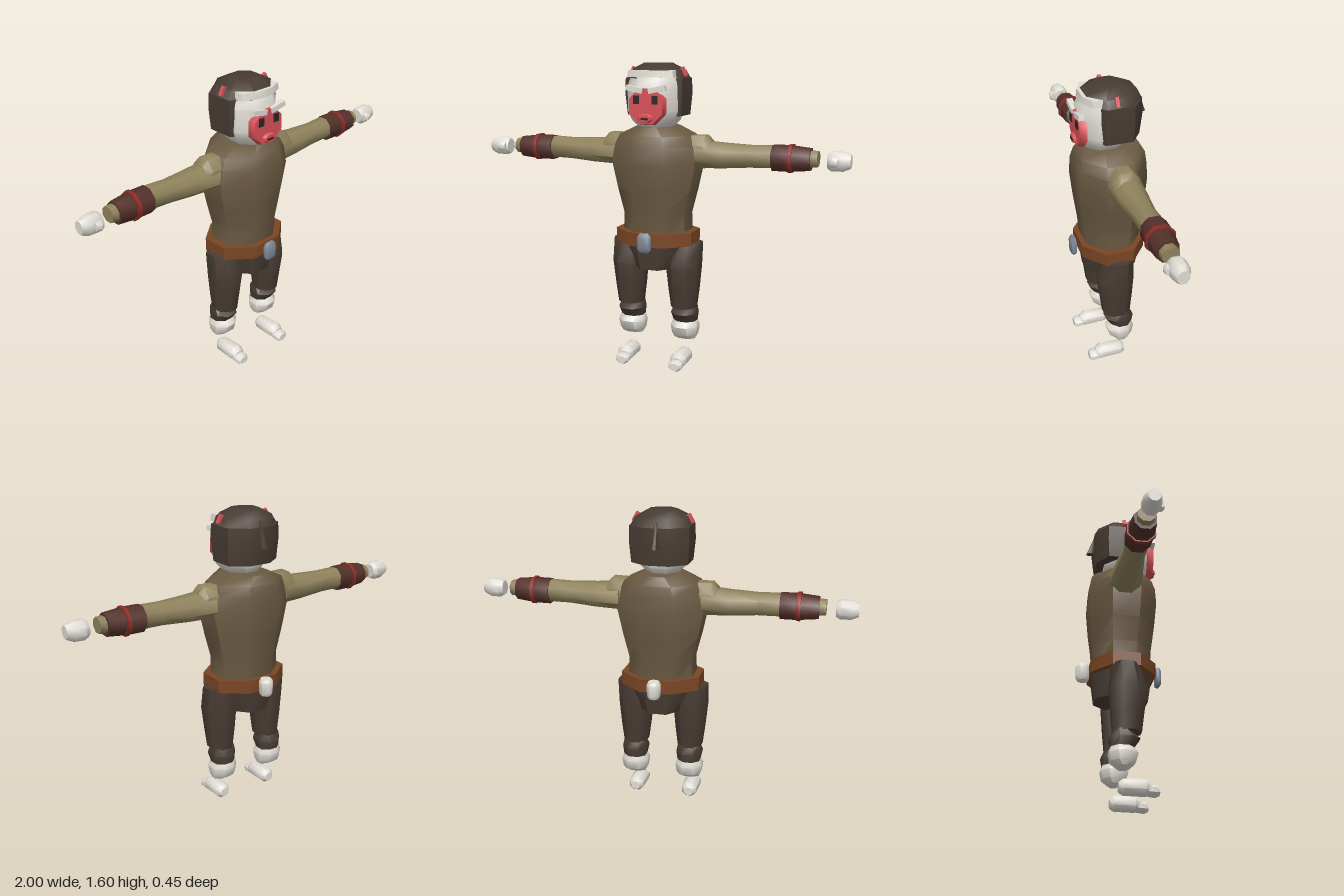
import * as THREE from 'three';
import { toCreasedNormals } from 'three/addons/utils/BufferGeometryUtils.js';

const colours = {
  tunic: 0x6a5a42, sleeve: 0x8f825c, darkBrown: 0x483c34, beltLeather: 0x7a4624, paleFur: 0xe0dcd5,
  faceRed: 0xd85158, bracer: 0x54302a, bandRed: 0x8c2c28, buckleSteel: 0x7d8896, eyeDark: 0x2b2626,
};

// Closed loft of eight-sided rings along an axis.
// Section: [position, aMin, aMax, bMin, bMax, chamfer, chamfer at aMax]; (a,b) is (y,z), (z,x) or (x,y).
function loft(axis, sections) {
  const k = 'xyz'.indexOf(axis), pos = [], idx = [];
  const put = (p, a, b) => {
    const v = [0, 0, 0];
    v[k] = p; v[(k + 1) % 3] = a; v[(k + 2) % 3] = b;
    pos.push(...v);
  };
  const rows = [...sections].sort((s, t) => s[0] - t[0]);
  for (const [p, a0, a1, b0, b1, c = 0.29, d = c] of rows) {
    const w = a1 - a0, h = b1 - b0;
    [[a1, b0 + d * h], [a1, b1 - d * h], [a1 - d * w, b1], [a0 + c * w, b1],
      [a0, b1 - c * h], [a0, b0 + c * h], [a0 + c * w, b0], [a1 - d * w, b0]].forEach(([a, b]) => put(p, a, b));
  }
  for (let r = 0; r < rows.length - 1; r++) {
    for (let i = 0; i < 8; i++) {
      const a = r * 8 + i, b = r * 8 + (i + 1) % 8;
      idx.push(a, b, b + 8, a, b + 8, a + 8);
    }
  }
  const top = (rows.length - 1) * 8;
  for (let i = 1; i < 7; i++) idx.push(0, i + 1, i, top, top + i, top + i + 1);
  const g = new THREE.BufferGeometry();
  g.setAttribute('position', new THREE.Float32BufferAttribute(pos, 3));
  g.setIndex(idx);
  return toCreasedNormals(g, 0.85);
}

export function createModel() {
  const model = new THREE.Group();
  const mats = {};
  for (const [name, color] of Object.entries(colours)) {
    mats[name] = new THREE.MeshStandardMaterial({ color });
    mats[name].name = name;
  }
  const add = (name, geometry, mat, parent = model) => {
    const mesh = new THREE.Mesh(geometry, mats[mat]);
    mesh.name = name;
    parent.add(mesh);
    return mesh;
  };
  const box = (name, mat, size, at, rz = 0) => {
    const m = add(name, new THREE.BoxGeometry(...size), mat);
    m.position.set(...at);
    m.rotation.z = rz;
    return m;
  };

  // Body
  add('torso', loft('y', [
    [0.68, -0.13, 0.155, -0.175, 0.175], [0.82, -0.14, 0.165, -0.168, 0.168],
    [0.95, -0.155, 0.182, -0.2, 0.2], [1.09, -0.165, 0.195, -0.23, 0.23],
    [1.18, -0.16, 0.19, -0.215, 0.215], [1.235, -0.155, 0.175, -0.19, 0.19], [1.28, -0.13, 0.145, -0.1, 0.1],
  ]), 'tunic');
  add('belt', loft('y', [[0.665, -0.155, 0.185, -0.21, 0.21], [0.735, -0.155, 0.185, -0.21, 0.21]]), 'beltLeather');
  add('hips', loft('y', [
    [0.535, -0.125, 0.15, -0.115, 0.115], [0.66, -0.138, 0.165, -0.165, 0.165], [0.7, -0.138, 0.165, -0.17, 0.17],
  ]), 'darkBrown');
  add('buckle', loft('z', [
    [0.2, -0.035, 0.035, 0.645, 0.74, 0.2], [0.215, -0.038, 0.038, 0.64, 0.745, 0.2],
    [0.226, -0.03, 0.03, 0.65, 0.735, 0.2],
  ]), 'buckleSteel');
  add('tailStub', loft('y', [
    [0.65, -0.215, -0.16, -0.026, 0.026], [0.665, -0.222, -0.153, -0.033, 0.033],
    [0.725, -0.225, -0.152, -0.035, 0.035], [0.742, -0.215, -0.16, -0.027, 0.027],
  ]), 'paleFur');

  // Head
  add('skull', loft('y', [
    [1.265, -0.04, 0.12, -0.07, 0.07], [1.31, -0.08, 0.16, -0.115, 0.115], [1.36, -0.09, 0.175, -0.135, 0.135],
    [1.48, -0.09, 0.175, -0.135, 0.135], [1.535, -0.08, 0.15, -0.125, 0.125],
  ]), 'paleFur');
  add('hairBack', loft('y', [
    [1.335, -0.13, 0.08, -0.147, 0.147, 0.29, 0.05], [1.44, -0.142, 0.09, -0.156, 0.156, 0.29, 0.05],
    [1.525, -0.14, 0.09, -0.154, 0.154, 0.29, 0.05],
  ]), 'darkBrown');
  add('hairCap', loft('y', [
    [1.52, -0.14, 0.145, -0.154, 0.154], [1.565, -0.12, 0.14, -0.132, 0.132], [1.6, -0.055, 0.075, -0.07, 0.07],
  ]), 'darkBrown');
  add('headband', loft('y', [
    [1.53, 0.05, 0.162, -0.125, 0.125, 0, 0.3], [1.565, 0.05, 0.158, -0.12, 0.12, 0, 0.3],
  ]), 'paleFur');
  add('hairTuft', loft('y', [
    [1.425, -0.178, -0.135, -0.015, 0.015, 0.2], [1.555, -0.13, -0.115, -0.005, 0.005, 0.2],
  ]), 'darkBrown');
  add('face', loft('z', [[0.15, -0.097, 0.097, 1.293, 1.482], [0.187, -0.09, 0.09, 1.3, 1.475]]), 'faceRed');
  add('muzzle', loft('z', [[0.18, -0.045, 0.045, 1.303, 1.355], [0.202, -0.03, 0.03, 1.31, 1.345]]), 'faceRed');
  box('mouth', 'eyeDark', [0.04, 0.01, 0.006], [0, 1.326, 0.203]);

  for (const s of [-1, 1]) {
    const side = s > 0 ? 'left' : 'right';
    // Mirrored face details
    box(side + 'Eye', 'eyeDark', [0.032, 0.042, 0.008], [s * 0.05, 1.42, 0.188]);
    box(side + 'Brow', 'paleFur', [0.09, 0.026, 0.03], [s * 0.06, 1.472, 0.18], s * 0.2);
    box(side + 'HeadMark', 'faceRed', [0.03, 0.05, 0.018], [s * 0.138, 1.553, 0.015], s * 0.5);

    // Arms, reaching straight out
    const arm = (name, mat, sections) =>
      add(side + name, loft('x', sections.map(([p, ...r]) => [s * p, ...r])), mat);
    arm('Shoulder', 'sleeve', [
      [0.16, 1.08, 1.235, -0.065, 0.08], [0.265, 1.07, 1.238, -0.065, 0.08], [0.295, 1.085, 1.21, -0.055, 0.07],
    ]);
    arm('Sleeve', 'sleeve', [
      [0.22, 1.07, 1.21, -0.075, 0.085], [0.36, 1.075, 1.2, -0.066, 0.075],
      [0.5, 1.085, 1.195, -0.05, 0.058], [0.63, 1.088, 1.2, -0.055, 0.055],
    ]);
    arm('Bracer', 'bracer', [
      [0.612, 1.075, 1.202, -0.062, 0.065], [0.7, 1.075, 1.202, -0.06, 0.068], [0.805, 1.085, 1.192, -0.046, 0.062],
    ]);
    arm('BracerBand', 'bandRed', [[0.695, 1.07, 1.208, -0.066, 0.075], [0.716, 1.07, 1.208, -0.066, 0.075]]);
    arm('Wrist', 'sleeve', [[0.79, 1.1, 1.182, -0.034, 0.05], [0.84, 1.104, 1.18, -0.034, 0.048]]);
    arm('Hand', 'paleFur', [
      [0.888, 1.1, 1.172, -0.022, 0.048], [0.91, 1.088, 1.184, -0.032, 0.056],
      [0.965, 1.09, 1.182, -0.03, 0.055], [1.0, 1.105, 1.17, -0.015, 0.043],
    ]);
    arm('Thumb', 'paleFur', [
      [0.9, 1.115, 1.155, 0.04, 0.066], [0.915, 1.11, 1.16, 0.035, 0.075], [0.94, 1.115, 1.155, 0.04, 0.07],
    ]);

    // Legs and feet, each centred on x = 0.15
    const leg = (name, mat, axis, sections) => {
      add(side + name, loft(axis, sections), mat).position.x = s * 0.152;
    };
    leg('Thigh', 'darkBrown', 'y', [
      [0.32, -0.05, 0.093, -0.064, 0.064], [0.42, -0.058, 0.105, -0.076, 0.076],
      [0.55, -0.066, 0.122, -0.088, 0.088], [0.675, -0.062, 0.085, -0.09, 0.09],
    ]);
    leg('Cuff', 'darkBrown', 'y', [
      [0.235, -0.06, 0.05, -0.06, 0.06], [0.285, -0.068, 0.085, -0.068, 0.068], [0.325, -0.048, 0.035, -0.06, 0.06],
    ]);
    leg('Ankle', 'paleFur', 'y', [
      [0.14, -0.03, 0.035, -0.055, 0.055], [0.165, -0.062, 0.062, -0.066, 0.066],
      [0.21, -0.07, 0.075, -0.073, 0.073], [0.238, -0.062, 0.055, -0.062, 0.062],
    ]);
    leg('Foot', 'paleFur', 'z', [
      [-0.022, -0.024, 0.024, 0.02, 0.065], [0, -0.04, 0.04, 0.006, 0.082],
      [0.11, -0.043, 0.043, 0.004, 0.084], [0.14, -0.03, 0.03, 0.012, 0.065],
    ]);
    leg('Toe', 'paleFur', 'z', [
      [0.12, -0.035, 0.035, 0.005, 0.055], [0.16, -0.036, 0.036, 0, 0.056], [0.178, -0.027, 0.027, 0.008, 0.046],
    ]);
  }
  return model;
}
